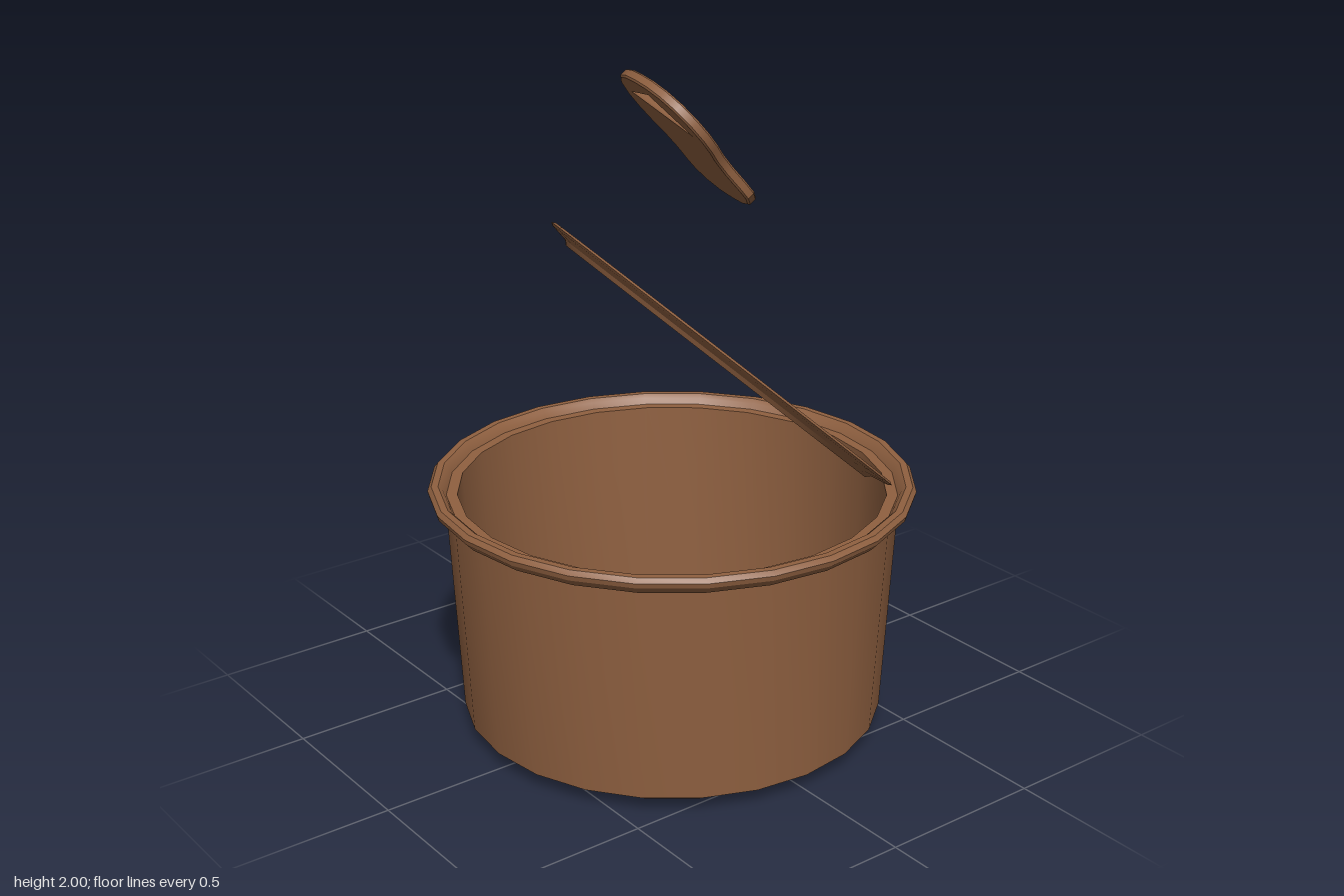
import * as THREE from 'three';
import { toCreasedNormals } from 'three/addons/utils/BufferGeometryUtils.js';

const material = new THREE.MeshStandardMaterial({ color: 0x8f6040 });

// Turned part from [radius, height] pairs, running from underside to top side
function turned(name, points, sides) {
  const profile = points.map(([r, y]) => new THREE.Vector2(r, y));
  const geometry = toCreasedNormals(new THREE.LatheGeometry(profile, sides), 0.5);
  const mesh = new THREE.Mesh(geometry, material);
  mesh.name = name;
  return mesh;
}

export function createModel() {
  const model = new THREE.Group();
  model.name = 'openTin';

  // Tapered body with chamfered base, rolled rim, inner ledge and hollow inside
  model.add(turned('canBody', [
    [0, 0], [0.55, 0], [0.63, 0.05], [0.665, 0.71],
    [0.69, 0.712], [0.712, 0.735], [0.716, 0.75], [0.705, 0.763], [0.685, 0.763],
    [0.672, 0.752], [0.662, 0.735], [0.63, 0.735],
    [0.605, 0.07], [0.55, 0.02], [0, 0.02],
  ], 24));

  // Tilted lid with a recessed panel
  const lid = turned('lid', [
    [0, -0.028], [0.55, -0.028], [0.562, -0.016], [0.615, -0.006],
    [0.625, 0], [0.615, 0.006], [0.572, 0.002], [0.556, -0.014], [0, -0.014],
  ], 32);
  lid.position.set(0.04, 1.12, -0.15);
  lid.quaternion.setFromUnitVectors(
    new THREE.Vector3(0, 1, 0),
    new THREE.Vector3(0.17, 0.75, -0.64).normalize());
  model.add(lid);

  // Pull tab: waisted outline, mirrored about its long axis
  const half = [
    [0.07, -0.23], [0.125, -0.21], [0.157, -0.175], [0.16, -0.135], [0.153, -0.08],
    [0.163, -0.02], [0.187, 0.025], [0.2, 0.075], [0.197, 0.125], [0.17, 0.18],
    [0.125, 0.215], [0.065, 0.233],
  ];
  const outline = [
    [0, -0.235], ...half, [0, 0.237],
    ...half.map(([x, y]) => [-x, y]).reverse(),
  ].map(([x, y]) => new THREE.Vector2(x * 0.98, y * 0.98));
  const shape = new THREE.Shape(outline);

  // Three-cornered finger hole
  shape.holes.push(new THREE.Path([
    new THREE.Vector2(-0.135, 0.15),
    new THREE.Vector2(0.03, 0.195),
    new THREE.Vector2(0.145, 0.075),
  ]));

  const tabGeometry = new THREE.ExtrudeGeometry(shape, {
    depth: 0.02, bevelEnabled: true, bevelThickness: 0.005, bevelSize: 0.005, bevelSegments: 1,
  });
  tabGeometry.translate(0, 0, -0.01);
  const tab = new THREE.Mesh(toCreasedNormals(tabGeometry, 0.6), material);
  tab.name = 'pullTab';

  // Lean the tab: long axis up and forward, slightly turned
  const along = new THREE.Vector3(-0.1, 0.76, 0.64).normalize();
  const across = new THREE.Vector3(0.98, -0.05, 0.2);
  const facing = across.cross(along).normalize();
  const side = new THREE.Vector3().crossVectors(along, facing);
  tab.quaternion.setFromRotationMatrix(new THREE.Matrix4().makeBasis(side, along, facing));
  tab.position.set(0.14, 1.81, 0.05);
  model.add(tab);

  return model;
}
